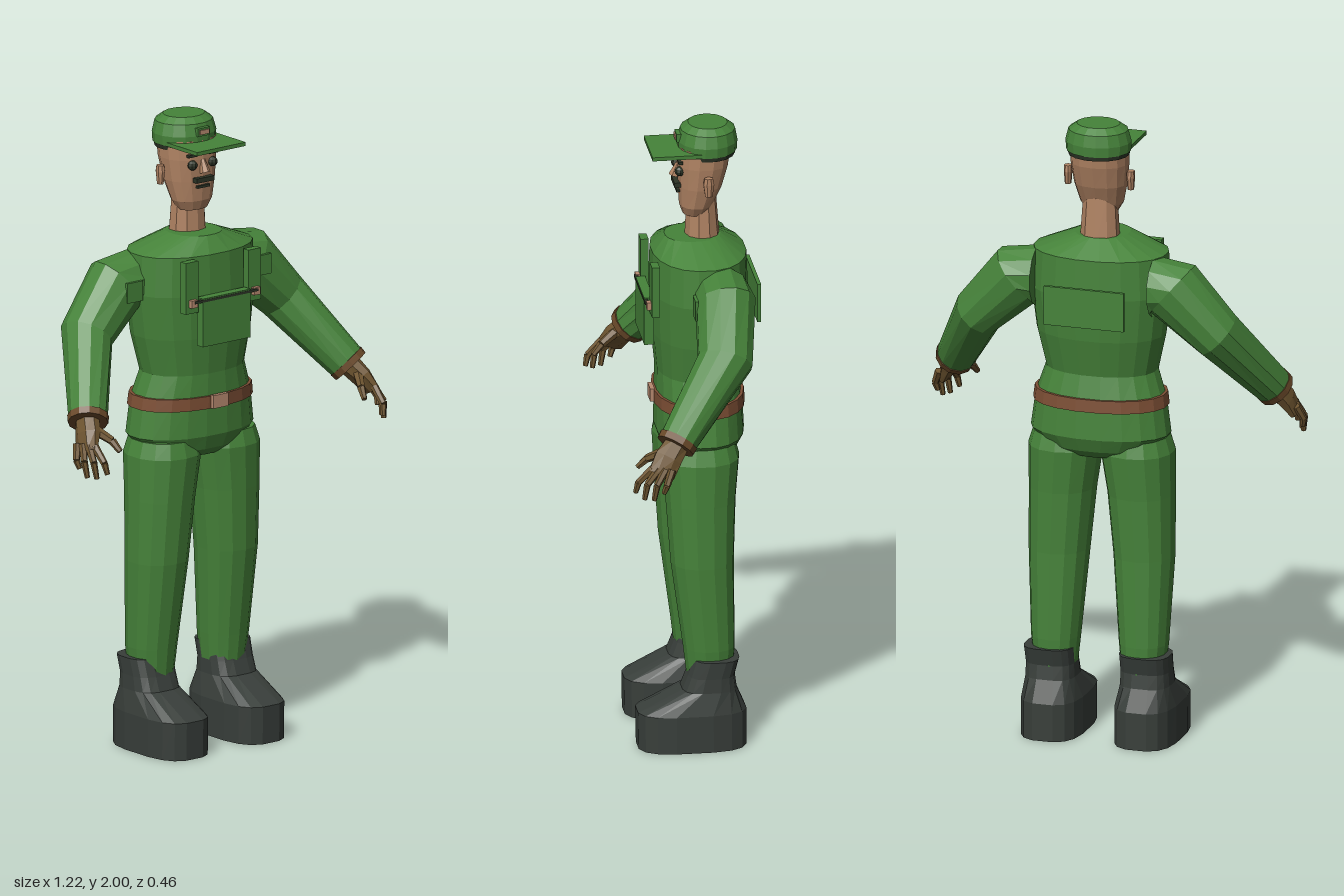
import * as THREE from 'three';

const paint = (name, color) => new THREE.MeshStandardMaterial({ name, color, flatShading: true });
const M = {
  cloth: paint('green cloth', 0x46833a),
  skin: paint('skin', 0xb08363),
  glove: paint('brown gloves', 0x6e5530),
  cuff: paint('cuff brown', 0x6b4a2a),
  belt: paint('belt leather', 0x7d4f35),
  buckle: paint('buckle tan', 0xb88a70),
  boot: paint('boot grey', 0x383e3a),
  dark: paint('dark features', 0x2c3426),
};

// Closed skin over cross-sections: { p: centre, t: direction, ru, rv }
function loft(sections, sides = 12, power = 2) {
  const pos = [], idx = [];
  const bend = (c) => Math.sign(c) * Math.pow(Math.abs(c), 2 / power);
  for (const { p, t, ru, rv } of sections) {
    const dir = new THREE.Vector3(...(t || [0, 1, 0])).normalize();
    const v = new THREE.Vector3(0, 0, 1);
    v.addScaledVector(dir, -v.dot(dir)).normalize();
    const u = new THREE.Vector3().crossVectors(dir, v);
    for (let i = 0; i < sides; i++) {
      const a = ((i + 0.5) / sides) * Math.PI * 2;
      const q = new THREE.Vector3(...p)
        .addScaledVector(u, ru * bend(Math.cos(a)))
        .addScaledVector(v, rv * bend(Math.sin(a)));
      pos.push(q.x, q.y, q.z);
    }
  }
  const n = sections.length, c0 = n * sides, last = (n - 1) * sides;
  pos.push(...sections[0].p, ...sections[n - 1].p);
  for (let i = 0; i < sides; i++) {
    const j = (i + 1) % sides;
    for (let k = 0; k < n - 1; k++) {
      const a = k * sides + i, b = k * sides + j;
      idx.push(a, a + sides, b, b, a + sides, b + sides);
    }
    idx.push(c0, i, j, c0 + 1, last + j, last + i);
  }
  const g = new THREE.BufferGeometry();
  g.setAttribute('position', new THREE.Float32BufferAttribute(pos, 3));
  g.setIndex(idx);
  const flat = g.toNonIndexed();
  flat.computeVertexNormals();
  return flat;
}

// Upright section: height, x centre, half width, back z, front z
const level = (y, x, rx, back, front) => ({
  p: [x, y, (back + front) / 2], ru: rx, rv: (front - back) / 2,
});

export function createModel() {
  const model = new THREE.Group();
  model.name = 'soldier';
  const add = (name, geo, mat, parent = model) => {
    const m = new THREE.Mesh(geo, mat);
    m.name = name;
    parent.add(m);
    return m;
  };
  const box = (name, mat, w, h, d, x, y, z, parent = model) => {
    const m = add(name, new THREE.BoxGeometry(w, h, d), mat, parent);
    m.position.set(x, y, z);
    return m;
  };
  const rod = (name, mat, a, b, ra, rb, parent, sides = 6) => {
    const t = b.map((c, i) => c - a[i]);
    return add(name, loft([{ p: a, t, ru: ra, rv: ra }, { p: b, t, ru: rb, rv: rb }], sides), mat, parent);
  };

  // Jacket, with the belt around it
  add('jacket', loft([
    level(0.93, 0, 0.1, -0.15, 0.04),
    level(0.955, 0, 0.185, -0.175, 0.065),
    level(1.0, 0, 0.223, -0.195, 0.08),
    level(1.11, 0, 0.208, -0.19, 0.08),
    level(1.2, 0, 0.178, -0.17, 0.078),
    level(1.32, 0, 0.205, -0.195, 0.09),
    level(1.46, 0, 0.222, -0.208, 0.097),
    level(1.585, 0, 0.214, -0.203, 0.092),
    level(1.635, 0, 0.085, -0.125, 0.05),
  ], 20, 2.2), M.cloth);
  add('belt', loft([level(1.09, 0, 0.216, -0.198, 0.088), level(1.13, 0, 0.211, -0.195, 0.088)], 20, 2.2), M.belt);
  box('buckle', M.buckle, 0.06, 0.042, 0.014, 0, 1.112, 0.091);

  // Chest pouch, straps and back panel
  box('pouch', M.cloth, 0.19, 0.155, 0.03, 0, 1.383, 0.111);
  box('pouchFlap', M.dark, 0.25, 0.008, 0.012, 0, 1.453, 0.121);
  for (const s of [-1, 1]) {
    box('chestStrap', M.cloth, 0.05, 0.165, 0.025, s * 0.125, 1.498, 0.097);
    box('strapButton', M.buckle, 0.024, 0.024, 0.014, s * 0.125, 1.448, 0.116);
  }
  box('backPanel', M.cloth, 0.26, 0.125, 0.012, 0, 1.438, -0.229);

  // Neck, head and face
  add('neck', loft([level(1.6, 0, 0.064, -0.125, -0.012), level(1.76, 0, 0.054, -0.112, -0.02)], 10), M.skin);
  add('head', loft([
    level(1.705, 0, 0.05, -0.085, -0.006),
    level(1.735, 0, 0.068, -0.1, 0.004),
    level(1.8, 0, 0.083, -0.13, 0.008),
    level(1.87, 0, 0.091, -0.15, 0.011),
    level(1.93, 0, 0.093, -0.157, 0.008),
  ], 14, 2.3), M.skin);
  const nose = rod('nose', M.skin, [0, 1.868, 0.006], [0, 1.828, 0.02], 0.008, 0.017, model);
  nose.castShadow = false;
  box('moustache', M.dark, 0.07, 0.015, 0.022, 0, 1.806, 0.012);
  box('mouth', M.dark, 0.048, 0.008, 0.012, 0, 1.783, 0.009);
  for (const s of [-1, 1]) {
    const eye = add('eye', new THREE.SphereGeometry(0.016, 8, 6), M.dark);
    eye.position.set(s * 0.04, 1.855, 0.007);
    box('eyebrow', M.dark, 0.036, 0.008, 0.014, s * 0.04, 1.886, 0.006);
    const ear = add('ear', loft([
      level(1.79, 0, 0.01, -0.012, 0.012),
      level(1.83, 0, 0.013, -0.018, 0.018),
      level(1.85, 0, 0.012, -0.014, 0.014),
    ], 8), M.skin);
    ear.position.set(s * 0.102, 0, -0.075);
  }

  // Peaked cap
  add('capBand', loft([level(1.9, 0, 0.096, -0.17, 0.006), level(1.916, 0, 0.1, -0.173, 0.009)], 16), M.dark);
  add('capCrown', loft([
    level(1.914, 0, 0.102, -0.176, 0.009),
    level(1.945, 0, 0.104, -0.178, 0.01),
    level(1.982, 0, 0.094, -0.171, 0.0),
    level(2.0, 0, 0.068, -0.147, -0.024),
  ], 16), M.cloth);
  const peak = new THREE.Shape([[-0.097, 0.055], [-0.097, -0.1], [0.097, -0.1], [0.097, 0.055]]
    .map(([x, y]) => new THREE.Vector2(x, y)));
  const peakGeo = new THREE.ExtrudeGeometry(peak, { depth: 0.012, bevelEnabled: false });
  add('capPeak', peakGeo.rotateX(-Math.PI / 2).translate(0, 1.914, 0), M.cloth);
  box('capBadgeFrame', M.cloth, 0.048, 0.026, 0.016, 0, 1.958, 0.007);
  box('capBadge', M.buckle, 0.036, 0.014, 0.016, 0, 1.958, 0.011);

  for (const s of [-1, 1]) {
    // Trouser leg
    add('trouserLeg', loft([
      level(0.22, s * 0.142, 0.066, -0.145, 0.0),
      level(0.32, s * 0.143, 0.077, -0.15, 0.012),
      level(0.6, s * 0.138, 0.095, -0.148, 0.05),
      level(0.8, s * 0.128, 0.105, -0.155, 0.064),
      level(0.94, s * 0.117, 0.116, -0.168, 0.073),
      level(0.99, s * 0.117, 0.1, -0.155, 0.06),
    ], 14, 2.2), M.cloth);

    // Boot
    add('boot', loft([
      level(0, s * 0.152, 0.098, -0.183, 0.158),
      level(0.12, s * 0.152, 0.098, -0.183, 0.16),
      level(0.19, s * 0.154, 0.081, -0.152, 0.02),
      level(0.235, s * 0.154, 0.079, -0.146, 0.002),
      level(0.29, s * 0.155, 0.08, -0.16, -0.014),
    ], 16, 3), M.boot);

    // Sleeve
    add('sleeve', loft([
      { p: [s * 0.19, 1.49, -0.105], t: [s, 0, 0], ru: 0.097, rv: 0.09 },
      { p: [s * 0.25, 1.49, -0.106], t: [s * 0.76, -0.65, 0], ru: 0.103, rv: 0.095 },
      { p: [s * 0.388, 1.35, -0.085], t: [s * 0.68, -0.72, 0.3], ru: 0.081, rv: 0.088 },
      { p: [s * 0.52, 1.137, 0.085], t: [s * 0.45, -0.7, 0.55], ru: 0.062, rv: 0.06 },
    ], 12), M.cloth);
    rod('cuff', M.cuff, [s * 0.514, 1.147, 0.078], [s * 0.524, 1.131, 0.09], 0.065, 0.063, model, 12);
    box('shoulderPatch', M.cloth, 0.06, 0.064, 0.01, s * 0.257, 1.482, -0.012);

    // Hand
    const hand = new THREE.Group();
    hand.name = 'hand';
    model.add(hand);
    add('palm', loft([
      { p: [s * 0.518, 1.142, 0.08], t: [s * 0.4, -0.75, 0.5], ru: 0.036, rv: 0.04 },
      { p: [s * 0.545, 1.1, 0.115], t: [s * 0.4, -0.75, 0.5], ru: 0.03, rv: 0.046 },
      { p: [s * 0.568, 1.055, 0.14], t: [s * 0.3, -0.85, 0.4], ru: 0.016, rv: 0.044 },
    ], 8), M.glove, hand);
    const tips = [[0.55, 0.995, 0.218], [0.572, 0.979, 0.193], [0.587, 0.98, 0.165], [0.594, 1.004, 0.135]];
    tips.forEach(([x, y, z], i) => {
      const root = [s * (0.558 + i * 0.008), 1.075, 0.165 - i * 0.019];
      const knuckle = [s * (x + 0.006), 1.03, z - 0.008];
      rod('fingerBase', M.glove, root, knuckle, 0.013, 0.011, hand);
      rod('fingerTip', M.glove, knuckle, [s * x, y, z], 0.011, 0.008, hand);
    });
    rod('thumbBase', M.glove, [s * 0.525, 1.115, 0.125], [s * 0.497, 1.085, 0.175], 0.017, 0.013, hand);
    rod('thumbTip', M.glove, [s * 0.497, 1.085, 0.175], [s * 0.487, 1.055, 0.203], 0.013, 0.009, hand);
  }
  return model;
}
